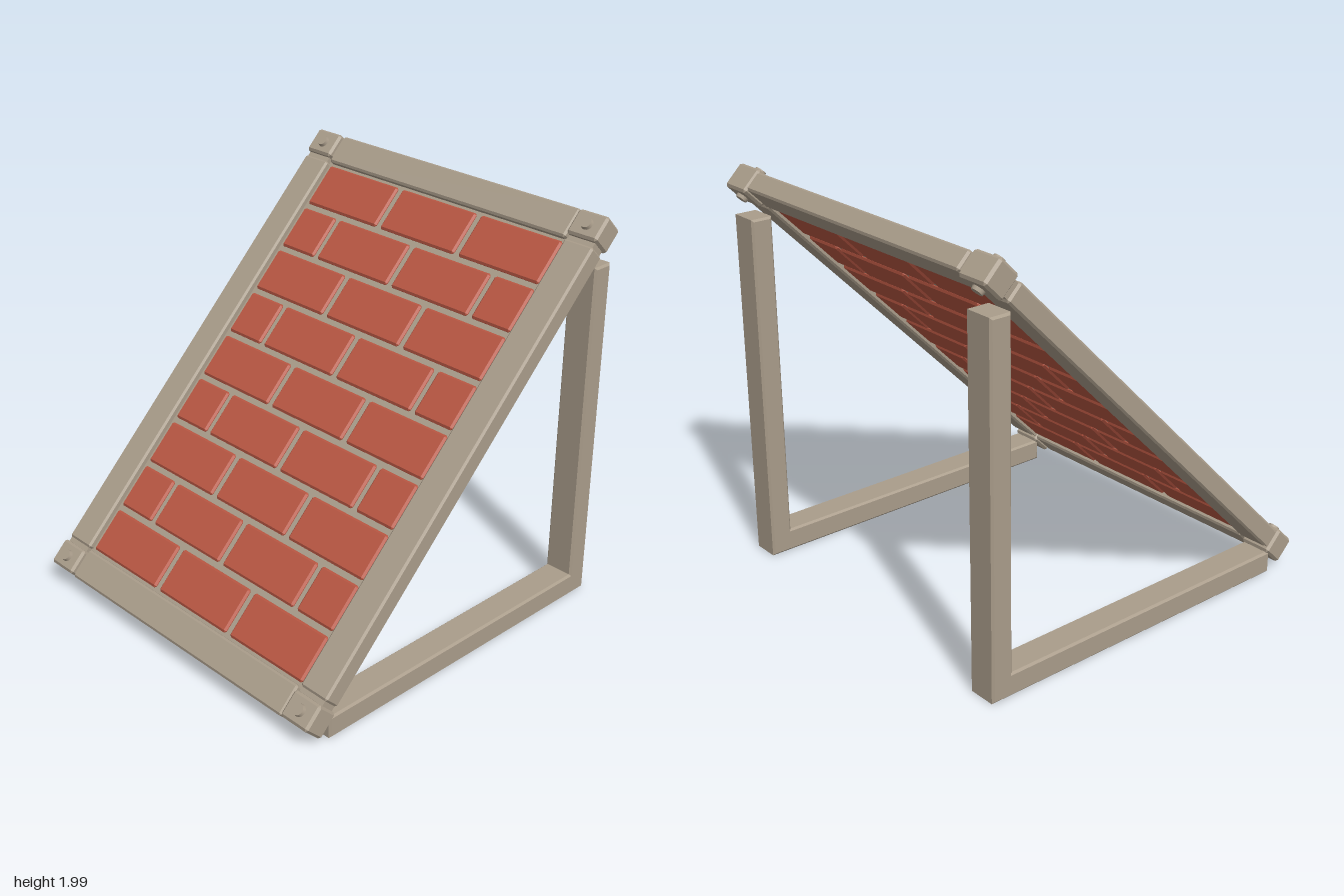
import * as THREE from 'three';
import { ConvexGeometry } from 'three/addons/geometries/ConvexGeometry.js';

// Box with every edge cut by a flat chamfer c
function chamferBox(w, h, d, c) {
  const pts = [];
  for (const sx of [-1, 1]) for (const sy of [-1, 1]) for (const sz of [-1, 1]) {
    const x = w / 2, y = h / 2, z = d / 2;
    pts.push(
      new THREE.Vector3(sx * x, sy * (y - c), sz * (z - c)),
      new THREE.Vector3(sx * (x - c), sy * y, sz * (z - c)),
      new THREE.Vector3(sx * (x - c), sy * (y - c), sz * z));
  }
  return new ConvexGeometry(pts);
}

export function createModel() {
  const stone = new THREE.MeshStandardMaterial({ color: 0xaa9d8b });
  stone.name = 'beigeStone';
  const red = new THREE.MeshStandardMaterial({ color: 0xb95743 });
  red.name = 'redBrick';

  const model = new THREE.Group();
  model.name = 'brickRamp';

  function add(parent, name, geometry, material, x = 0, y = 0, z = 0) {
    const mesh = new THREE.Mesh(geometry, material);
    mesh.name = name;
    mesh.position.set(x, y, z);
    parent.add(mesh);
    return mesh;
  }

  // Sloping panel: local y runs up the slope, local z faces out of it
  const panel = new THREE.Group();
  panel.name = 'slopingPanel';
  panel.position.y = 1.015;
  panel.rotation.x = -Math.PI / 4;
  model.add(panel);

  // Frame rails
  const sideRail = chamferBox(0.165, 2.34, 0.1, 0.01);
  const crossRail = chamferBox(1.55, 0.155, 0.1, 0.01);
  for (const s of [-1, 1]) {
    add(panel, 'sideRail', sideRail, stone, s * 0.865, 0, 0);
    add(panel, 'crossRail', crossRail, stone, 0, s * 1.2525, 0);
  }

  // Corner blocks with necks joining the rails, and a stud on both faces
  const block = chamferBox(0.17, 0.132, 0.132, 0.012);
  const neckUp = new THREE.BoxGeometry(0.145, 0.06, 0.08);
  const neckAcross = new THREE.BoxGeometry(0.06, 0.11, 0.08);
  const stud = new THREE.CylinderGeometry(0.027, 0.031, 0.02, 12).rotateX(Math.PI / 2);
  for (const sx of [-1, 1]) for (const sy of [-1, 1]) {
    const x = sx * 0.865, y = sy * 1.26;
    add(panel, 'cornerBlock', block, stone, x, y, 0);
    add(panel, 'blockNeck', neckUp, stone, x, sy * 1.18, 0);
    add(panel, 'blockNeck', neckAcross, stone, sx * 0.78, y, 0);
    add(panel, 'frontStud', stud, stone, x, y, 0.073);
    add(panel, 'backStud', stud, stone, x, y, -0.073).rotation.y = Math.PI;
  }

  // Mortar slab and nine staggered rows of bricks
  add(panel, 'mortar', new THREE.BoxGeometry(1.58, 2.38, 0.036), stone);
  const fullBrick = chamferBox(0.492, 0.232, 0.064, 0.01);
  const halfBrick = chamferBox(0.234, 0.232, 0.064, 0.01);
  for (let row = -4; row <= 4; row++) {
    const y = row * 0.261;
    if (row % 2 === 0) {
      for (const x of [-0.522, 0, 0.522]) add(panel, 'brick', fullBrick, red, x, y);
    } else {
      for (const s of [-1, 1]) {
        add(panel, 'brick', fullBrick, red, s * 0.261, y);
        add(panel, 'halfBrick', halfBrick, red, s * 0.651, y);
      }
    }
  }

  // L-shaped supports: a foot along the ground and an upright at the back
  const c = 0.01;
  const outline = new THREE.Shape([
    [-0.83 + c, c], [0.945 - c, c], [0.945 - c, 1.76 - c],
    [0.835 + c, 1.76 - c], [0.835 + c, 0.115 - c], [-0.83 + c, 0.115 - c],
  ].map(([x, y]) => new THREE.Vector2(x, y)));
  const support = new THREE.ExtrudeGeometry(outline, {
    depth: 0.155 - 2 * c, bevelEnabled: true, bevelThickness: c, bevelSize: c, bevelSegments: 1,
  });
  support.translate(0, 0, -0.0775 + c).rotateY(Math.PI / 2);
  for (const s of [-1, 1]) add(model, 'support', support, stone, s * 0.865, 0, 0);

  return model;
}
